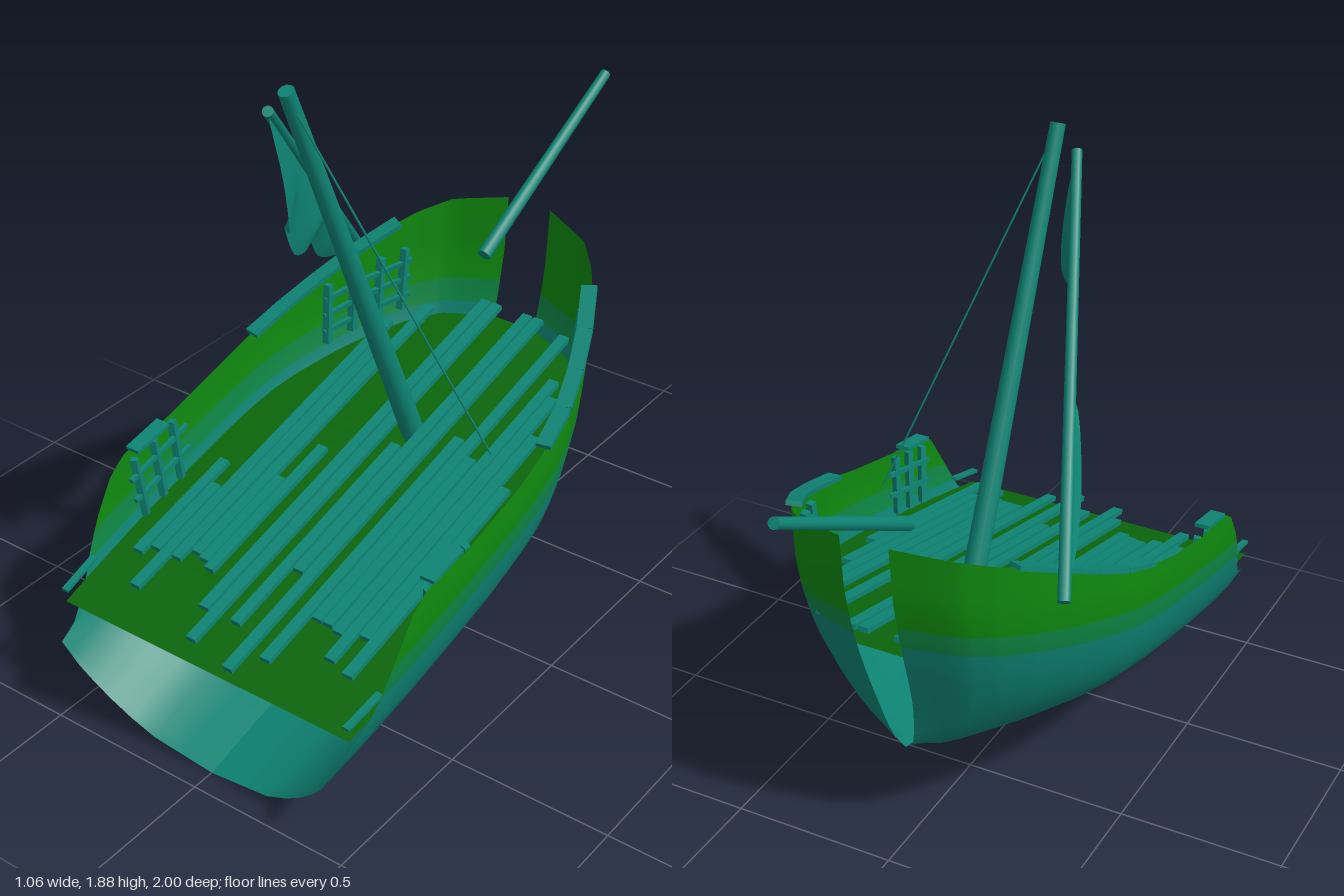
import * as THREE from 'three';

const mat = (color) => new THREE.MeshStandardMaterial({ color, side: THREE.DoubleSide });
const teal = mat(0x0e8474), blend = mat(0x0e8644), green = mat(0x0f8a0f), deckGreen = mat(0x0b660b);
const V = (x, y, z) => new THREE.Vector3(x, y, z);

// Piecewise linear lookup in a list of [x, y] pairs
function lookup(table, x) {
  for (let i = 1; i < table.length; i++) {
    const [x0, y0] = table[i - 1], [x1, y1] = table[i];
    if (x <= x1) return y0 + (y1 - y0) * Math.max(0, (x - x0) / (x1 - x0));
  }
  return table[table.length - 1][1];
}

// Hull lines: stem rake, section fullness, plan shape and rail height
const stem = [[0, 1.36], [0.09, 1.413], [0.176, 1.463], [0.33, 1.563], [0.44, 1.628], [0.55, 1.683], [0.714, 1.74]];
const section = [[0, 0], [0.03, 0.4], [0.07, 0.55], [0.115, 0.67], [0.16, 0.765], [0.21, 0.85], [0.29, 0.93], [0.365, 0.97], [0.43, 0.99], [0.5, 1], [0.72, 0.995]];
const plan = [[0, 0.95], [0.1, 0.975], [0.25, 0.995], [0.37, 1], [0.5, 1], [0.59, 0.985], [0.645, 0.962], [0.695, 0.925], [0.78, 0.83], [0.86, 0.71], [0.92, 0.585], [0.965, 0.44], [1, 0.14]];
const rail = [[0, 0.289], [0.041, 0.298], [0.1, 0.356], [0.167, 0.483], [0.22, 0.572], [0.258, 0.597], [0.365, 0.577], [0.5, 0.577], [0.59, 0.589], [0.693, 0.606], [0.856, 0.667], [1, 0.714]];
const halfWidth = (s, v) => 0.525 * lookup(section, v) * lookup(plan, s);
const hullPoint = (s, v, side = 1, inset = 0) =>
  V(side * (halfWidth(s, v) - inset), v, -s * lookup(stem, v));

function add(parent, name, geometry, material) {
  const mesh = new THREE.Mesh(geometry, material);
  mesh.name = name;
  parent.add(mesh);
  return mesh;
}

// Square timber between two points
function beam(parent, name, a, b, w, h, material = teal) {
  const mesh = new THREE.Mesh(new THREE.BoxGeometry(w, h, a.distanceTo(b)), material);
  mesh.name = name;
  mesh.position.copy(a).lerp(b, 0.5);
  mesh.lookAt(b);
  parent.add(mesh);
}

// Round spar between two points
function spar(parent, name, a, b, r0, r1, sides = 12) {
  const mesh = add(parent, name, new THREE.CylinderGeometry(r1, r0, a.distanceTo(b), sides), teal);
  mesh.position.copy(a).lerp(b, 0.5);
  mesh.quaternion.setFromUnitVectors(V(0, 1, 0), b.clone().sub(a).normalize());
}

// Quad grid from rows of points
function gridGeometry(rows) {
  const n = rows[0].length, index = [];
  for (let i = 0; i < rows.length - 1; i++)
    for (let j = 0; j < n - 1; j++) {
      const a = i * n + j, b = a + n;
      index.push(a, b, b + 1, a, b + 1, a + 1);
    }
  const g = new THREE.BufferGeometry().setFromPoints(rows.flat());
  g.setIndex(index);
  g.computeVertexNormals();
  return g;
}

// One shell side, split into three colour bands that share smooth normals
function hullSide(parent, side) {
  const levels = [0, 0.015, 0.03, 0.07, 0.115, 0.16, 0.21, 0.25, 0.29, 0.33, 0.365, 0.4, 0.43, 0.465, 0.5, 0.54, 0.58, 0.63, 0.72];
  const rows = [], count = 56, n = levels.length;
  for (let i = 0; i <= count; i++) {
    const s = 1 - Math.pow(1 - i / count, 1.25);
    rows.push(levels.map((v) => hullPoint(s, Math.min(v, lookup(rail, s)), side)));
  }
  if (side < 0) rows.reverse();
  const whole = gridGeometry(rows), all = Array.from(whole.index.array);
  [['lowerHull', 0, 11, teal], ['waterlineBand', 11, 13, blend], ['upperHull', 13, n - 1, green]].forEach(([name, j0, j1, m]) => {
    const g = new THREE.BufferGeometry();
    g.setAttribute('position', whole.getAttribute('position'));
    g.setAttribute('normal', whole.getAttribute('normal'));
    const index = [];
    for (let q = 0; q < all.length; q += 6) {
      const j = (q / 6) % (n - 1);
      if (j >= j0 && j < j1) index.push(...all.slice(q, q + 6));
    }
    g.setIndex(index);
    add(parent, name, g, m);
  });
}

function buildHull() {
  const hull = new THREE.Group();
  hull.name = 'hull';
  hull.position.set(0, 0.005, 0.93);
  hull.rotation.x = 0.245;

  // Deck follows the shell, with a straight after edge
  const deckV = 0.365, deckRows = [];
  for (let i = 0; i <= 32; i++) {
    const s = 0.048 + 0.952 * (1 - Math.pow(1 - i / 32, 1.4));
    deckRows.push([hullPoint(s, deckV, -1), V(0, deckV, -s * lookup(stem, deckV)), hullPoint(s, deckV)].reverse());
  }
  add(hull, 'deck', gridGeometry(deckRows), deckGreen);

  // Loose deck planks: x, front z, rear z
  [[-0.395, 0.37, 0.75], [-0.355, 0.455, 0.72], [-0.317, -0.31, 0.85], [-0.28, -0.24, 0.72], [-0.24, -0.42, 0.68],
    [-0.205, 0.35, 0.69], [-0.17, 0.2, 0.71], [-0.095, -0.51, 0.82], [-0.055, -0.51, 0.92], [0.015, 0.1, 0.82],
    [0.055, -0.51, 0.6], [0.095, -0.51, 0.95], [0.165, 0, 0.88], [0.205, -0.48, 0.71], [0.24, 0.05, 0.71],
    [0.28, -0.31, 0.72], [0.317, -0.25, 0.8], [0.355, -0.1, 0.7], [0.39, 0.1, 0.82]].forEach(([x, z0, z1]) => {
    const local = (z) => V(x, 0.41, (z - 1.03) / 0.97);
    beam(hull, 'deckPlank', local(z0), local(z1), 0.032, 0.016);
  });

  for (const side of [1, -1]) {
    hullSide(hull, side);

    // Cap rail along the bow
    const caps = [0.59, 0.67, 0.74, 0.81, 0.885];
    for (let i = 0; i < caps.length - 1; i++) {
      const [a, b] = [caps[i], caps[i + 1]].map((s) => hullPoint(s, lookup(rail, s) + 0.006, side, 0.008));
      beam(hull, 'capRail', a, b, 0.045, 0.014);
    }

    // Inner ribs and battens at the bow and quarter
    for (const s of [0.75, 0.8, 0.85, 0.89])
      beam(hull, 'bowRib', hullPoint(s, 0.42, side, 0.025), hullPoint(s, 0.6, side, 0.025), 0.022, 0.022);
    for (const v of [0.46, 0.51, 0.56])
      for (const [s0, s1] of [[0.74, 0.82], [0.82, 0.9]])
        beam(hull, 'bowBatten', hullPoint(s0, v, side, 0.03), hullPoint(s1, v, side, 0.03), 0.012, 0.014);
    for (const s of [0.27, 0.32, 0.37])
      beam(hull, 'quarterRib', hullPoint(s, 0.38, side, 0.016), hullPoint(s, 0.57, side, 0.016), 0.02, 0.02);
    for (const v of [0.45, 0.52])
      beam(hull, 'quarterBatten', hullPoint(0.25, v, side, 0.025), hullPoint(0.4, v, side, 0.025), 0.012, 0.014);
  }
  return hull;
}

// Torn sail hanging beneath the slanted yard
function buildSail(top, bottom) {
  const edge = new THREE.CatmullRomCurve3([
    V(-0.05, 1.78, 0.525), V(-0.035, 1.62, 0.5), V(-0.045, 1.46, 0.47), V(-0.12, 1.42, 0.4), V(-0.17, 1.28, 0.3),
    V(-0.21, 1.24, 0.2), V(-0.27, 1.23, 0.12), V(-0.35, 1.08, -0.02), V(-0.42, 0.985, -0.2), V(-0.455, 0.945, -0.33)]);
  const rows = [];
  for (let i = 0; i <= 36; i++) {
    const t = i / 36, a = top.clone().lerp(bottom, t), b = edge.getPoint(t), row = [];
    for (let j = 0; j <= 5; j++) {
      const p = a.clone().lerp(b, j / 5);
      p.x += 0.018 * Math.sin(Math.PI * j / 5) * Math.sin(Math.PI * t);
      row.push(p);
    }
    rows.push(row);
  }
  return gridGeometry(rows);
}

export function createModel() {
  const ship = new THREE.Group();
  ship.name = 'shipwreck';
  ship.add(buildHull());

  // Mast, bowsprit and yard
  spar(ship, 'mast', V(0, 0.58, -0.02), V(0, 1.88, 0.52), 0.035, 0.022);
  spar(ship, 'bowsprit', V(0, 1.05, -0.35), V(0, 1.395, -0.99), 0.021, 0.016);
  const yardTop = V(-0.06, 1.81, 0.52), yardEnd = V(-0.46, 0.94, -0.35);
  spar(ship, 'yard', yardTop, yardEnd, 0.015, 0.018);
  add(ship, 'sail', buildSail(yardTop, yardEnd), teal);

  // Stay rope
  spar(ship, 'stayRope', V(0.01, 1.84, 0.51), V(0.385, 0.79, 0.17), 0.003, 0.003, 6);

  // Short boards on the quarters and stern corners
  for (const side of [1, -1]) {
    beam(ship, 'quarterBoard', V(side * 0.505, 0.7, 0.63), V(side * 0.505, 0.725, 0.5), 0.045, 0.012);
    beam(ship, 'sternBoard', V(side * 0.485, 0.42, 0.95), V(side * 0.495, 0.452, 0.82), 0.02, 0.01);
  }
  return ship;
}
